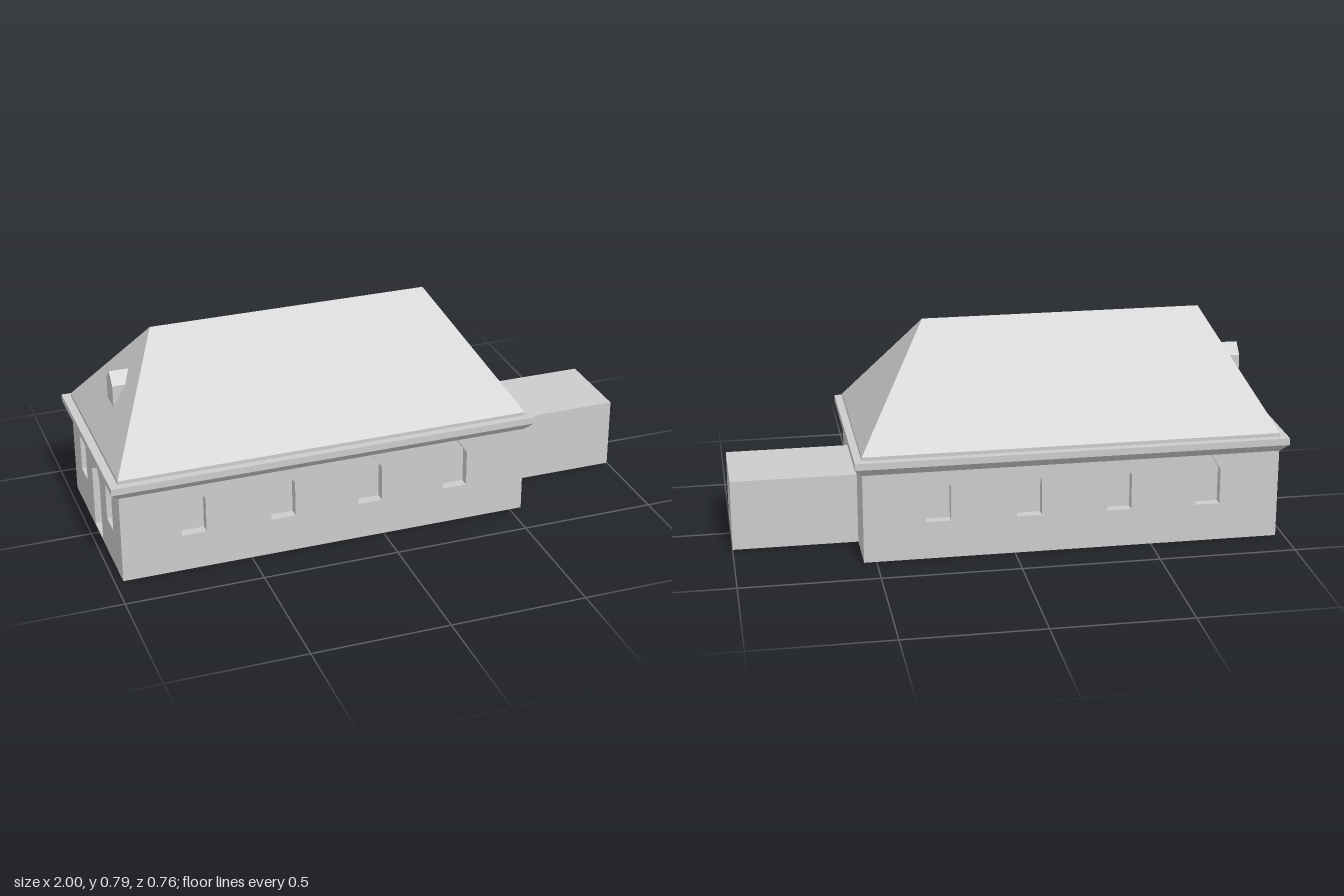
import * as THREE from 'three';
import { ConvexGeometry } from 'three/addons/geometries/ConvexGeometry.js';

const X0 = -0.97, X1 = 0.545, Z = 0.355;   // wall faces
const RECESS = 0.035;                      // depth of windows and door
const WALL_TOP = 0.35;                     // tucked behind the cornice

// Four corners of a level rectangle
const ring = (y, x0, x1, z) => [[x0, y, -z], [x1, y, -z], [x1, y, z], [x0, y, z]];
const hull = (points) => new ConvexGeometry(points.map((p) => new THREE.Vector3(...p)));

// Opening with straight jambs and a pointed head
function pointedOpening(x, halfWidth, sill, shoulder, apex) {
  const path = new THREE.Path();
  path.moveTo(x - halfWidth, sill);
  path.lineTo(x - halfWidth, shoulder);
  path.lineTo(x, apex);
  path.lineTo(x + halfWidth, shoulder);
  path.lineTo(x + halfWidth, sill);
  path.closePath();
  return path;
}
const windowOpening = (x) => pointedOpening(x, 0.045, 0.14, 0.272, 0.345);

// Wall slab pierced by openings, outer face towards local +z
function wallPanel(x0, x1, openings) {
  const shape = new THREE.Shape();
  shape.moveTo(x0, 0);
  shape.lineTo(x1, 0);
  shape.lineTo(x1, WALL_TOP);
  shape.lineTo(x0, WALL_TOP);
  shape.closePath();
  shape.holes.push(...openings);
  return new THREE.ExtrudeGeometry(shape, { depth: RECESS, bevelEnabled: false });
}

export function createModel() {
  const model = new THREE.Group();
  const stone = new THREE.MeshStandardMaterial({ color: 0xcccccc });
  stone.name = 'paleGrey';

  const add = (name, geometry, x = 0, y = 0, z = 0, turn = 0) => {
    const mesh = new THREE.Mesh(geometry, stone);
    mesh.name = name;
    mesh.position.set(x, y, z);
    mesh.rotation.y = turn;
    model.add(mesh);
    return mesh;
  };

  // Inner block that closes the back of every recess
  const coreX0 = X0 + RECESS, coreZ = Z - RECESS;
  add('wallCore', new THREE.BoxGeometry(X1 - coreX0, WALL_TOP, coreZ * 2),
    (X1 + coreX0) / 2, WALL_TOP / 2, 0);

  // Long walls with four windows each
  const windowXs = [0, 1, 2, 3].map((i) => -0.708 + i * 0.328);
  add('frontWall', wallPanel(X0, X1, windowXs.map(windowOpening)), 0, 0, coreZ);
  add('backWall', wallPanel(-X1, -X0, windowXs.map((x) => windowOpening(-x))), 0, 0, -coreZ, Math.PI);

  // Entrance wall with a door between two windows
  add('entranceWall', wallPanel(-coreZ, coreZ, [
    windowOpening(-0.195),
    pointedOpening(0, 0.058, 0.006, 0.235, 0.325),
    windowOpening(0.195),
  ]), coreX0, 0, 0, -Math.PI / 2);

  // Flared cornice
  add('cornice', hull([
    ...ring(0.33, X0, X1, Z),
    ...ring(0.36, -1, 0.572, 0.382),
    ...ring(0.385, -1, 0.572, 0.382),
  ]));

  // Hipped roof on a low upstand
  add('roof', hull([
    ...ring(0.385, X0, X1, Z),
    ...ring(0.398, X0, X1, Z),
    [-0.745, 0.787, 0], [0.28, 0.787, 0],
  ]));

  // Small gabled dormer, its back end buried in the roof
  const dormer = [];
  for (const x of [-0.9, -0.8]) {
    dormer.push([x, 0.5, -0.042], [x, 0.5, 0.042], [x, 0.6, -0.042], [x, 0.6, 0.042], [x, 0.64, 0]);
  }
  add('dormer', hull(dormer));

  // Low annex at the far end
  add('annex', new THREE.BoxGeometry(1 - X1, 0.262, 0.312), (1 + X1) / 2, 0.131, -0.003);

  return model;
}
